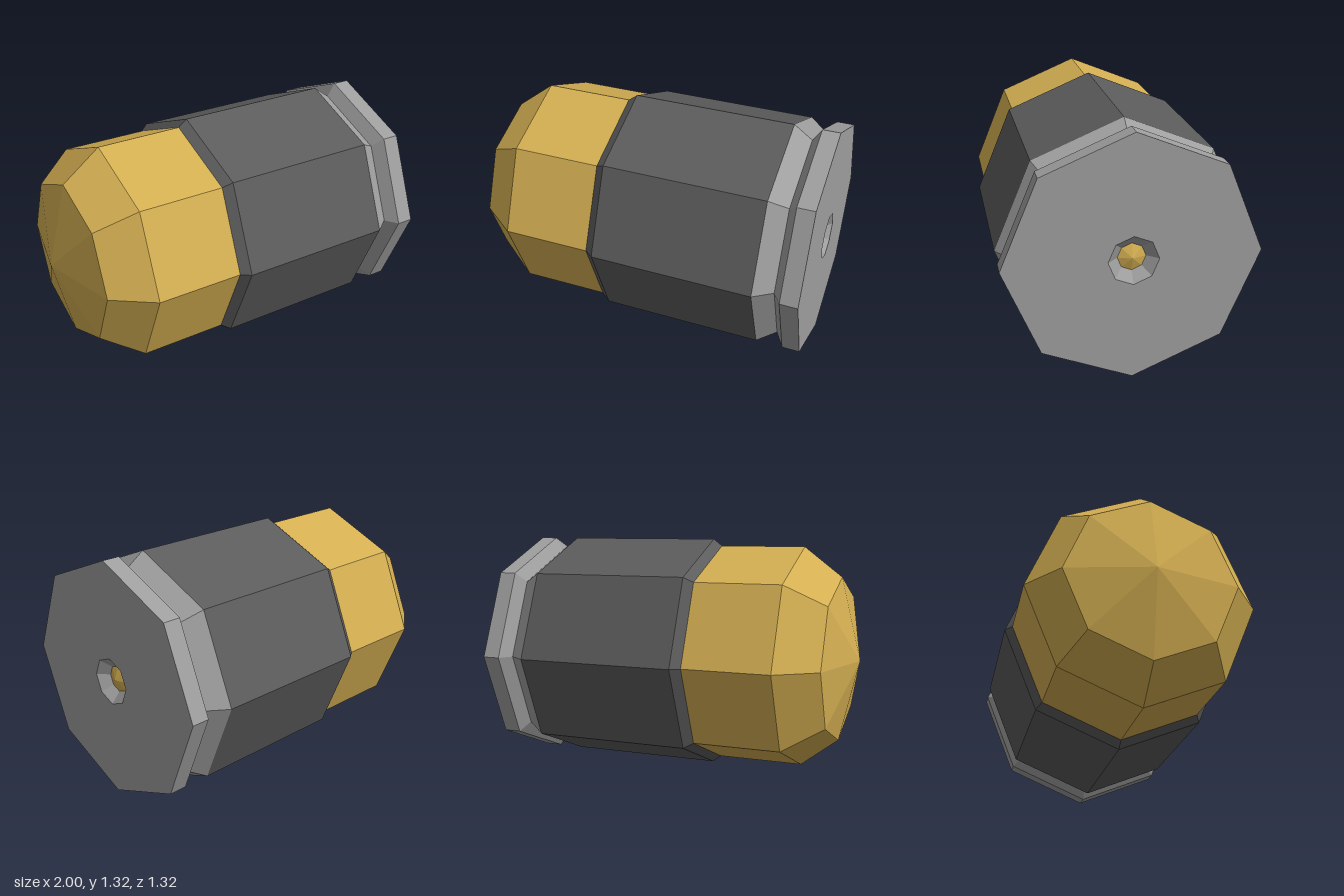
import * as THREE from 'three';

const SIDES = 8;
const CENTRE_Y = 0.66;

const material = (color) => new THREE.MeshStandardMaterial({ color, flatShading: true });

// Turn an [x, radius] profile around the long x axis.
function turned(name, profile, mat) {
  const points = profile.map(([x, r]) => new THREE.Vector2(r, x));
  const geometry = new THREE.LatheGeometry(points, SIDES);
  geometry.rotateZ(-Math.PI / 2);
  const mesh = new THREE.Mesh(geometry, mat);
  mesh.name = name;
  mesh.position.y = CENTRE_Y;
  return mesh;
}

export function createModel() {
  const group = new THREE.Group();
  group.name = 'cartridge';
  const brass = material(0xd4af52);
  const dark = material(0x5c5c5c);
  const steel = material(0x9e9e9e);

  group.add(
    // Blunt faceted nose
    turned('nose', [[-1, 0], [-0.89, 0.457], [-0.677, 0.62], [-0.19, 0.62]], brass),
    // Casing with a chamfered mouth
    turned('casing', [[-0.19, 0.62], [-0.14, 0.658], [0.755, 0.658]], dark),
    // Extractor groove, rim and base with a tapered recess
    turned('rim', [[0.755, 0.658], [0.857, 0.585], [0.903, 0.658], [1, 0.658],
      [1, 0.13], [0.95, 0.073]], steel),
    // Small domed primer at the bottom of the recess
    turned('primer', [[0.95, 0.073], [0.975, 0]], brass),
  );
  return group;
}
